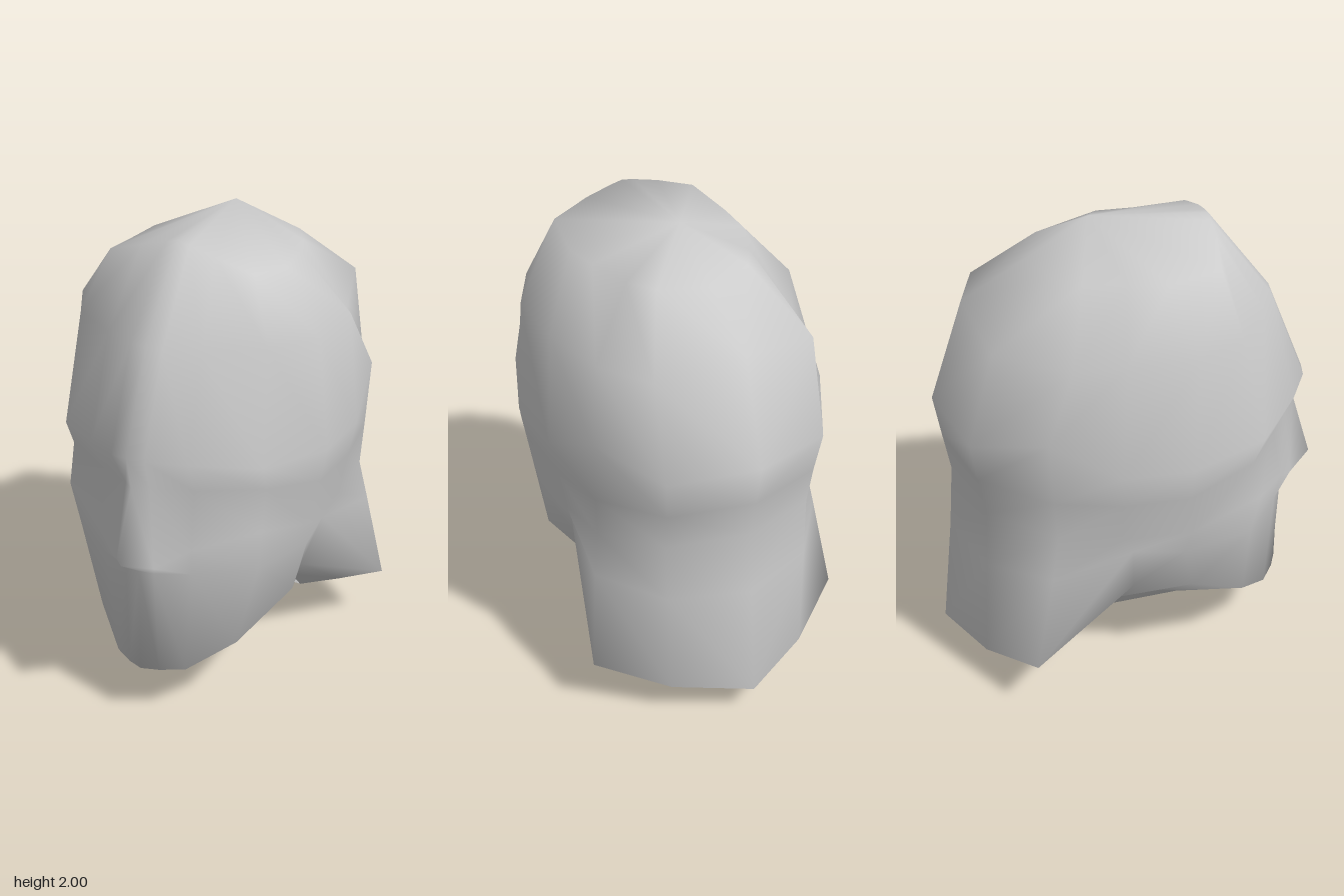
import * as THREE from 'three';

// Half outline of the skull seen from above, brow to nape: [x, z] on a unit scale
const OUTLINE = [[0, 1], [0.13, 0.985], [0.38, 0.88], [0.77, 0.65], [1, 0.22],
  [1, -0.15], [0.92, -0.5], [0.61, -0.86], [0, -1]];

// Half ring from its half width, the front and back [y, z] and the height of the sides
function ring(width, [frontY, frontZ], sideY, [backY, backZ], overrides = {}) {
  return OUTLINE.map(([ux, uz], i) => {
    const endY = uz > 0 ? frontY : backY;
    const z = uz > 0 ? uz * frontZ : -uz * backZ;
    return overrides[i] || [ux * width, sideY + (endY - sideY) * uz * uz, z];
  });
}

// Skin over half rings, each mirrored into a full loop, with a point at the crown
function loft(crown, halves) {
  const positions = [...crown];
  const index = [];
  for (const half of halves) {
    const mirrored = half.slice(1, -1).reverse().map(([x, y, z]) => [-x, y, z]);
    for (const p of [...half, ...mirrored]) positions.push(...p);
  }
  const n = (OUTLINE.length - 1) * 2;
  for (let c = 0; c < n; c++) {
    const d = (c + 1) % n;
    index.push(0, 1 + c, 1 + d);
    for (let r = 0; r < halves.length - 1; r++) {
      const top = 1 + r * n, low = top + n;
      // The diagonals mirror each other on the two sides
      if (c < n / 2) index.push(top + c, low + c, low + d, top + c, low + d, top + d);
      else index.push(top + c, low + c, top + d, low + c, low + d, top + d);
    }
  }
  const geometry = new THREE.BufferGeometry();
  geometry.setAttribute('position', new THREE.Float32BufferAttribute(positions, 3));
  geometry.setIndex(index);
  geometry.computeVertexNormals();
  return geometry;
}

export function createModel() {
  // Skull, brow, eye sockets, nose and cheekbones
  const skull = [
    ring(0.33, [1.97, 0.33], 1.86, [1.84, -0.4],
      { 1: [0.05, 1.96, 0.33], 2: [0.16, 1.93, 0.33], 3: [0.315, 1.88, 0.31],
        4: [0.35, 1.85, 0.1], 6: [0.27, 1.845, -0.22], 7: [0.2, 1.85, -0.33] }),
    ring(0.54, [1.63, 0.59], 1.62, [1.68, -0.66],
      { 4: [0.535, 1.62, 0.18], 6: [0.44, 1.56, -0.29], 7: [0.345, 1.62, -0.585] }),
    ring(0.573, [1.23, 0.75], 1.14, [1.25, -0.8],
      { 3: [0.445, 1.17, 0.48], 6: [0.515, 1.29, -0.4] }),
    ring(0.543, [1.09, 0.72], 0.99, [1.07, -0.77],
      { 1: [0.055, 1.08, 0.67], 2: [0.2, 1.06, 0.58], 3: [0.44, 1.06, 0.435] }),
    ring(0.505, [0.79, 0.81], 0.8, [0.9, -0.74],
      { 1: [0.085, 0.745, 0.705], 2: [0.21, 0.82, 0.625], 3: [0.44, 0.89, 0.475],
        6: [0.49, 0.83, -0.37], 7: [0.325, 0.88, -0.635] }),
    ring(0.487, [0.7, 0.68], 0.69, [0.62, -0.76],
      { 2: [0.2, 0.7, 0.605], 3: [0.415, 0.7, 0.445], 5: [0.46, 0.7, -0.06],
        6: [0.52, 0.65, -0.4], 7: [0.32, 0.62, -0.645] }),
  ];

  // Jaw line, running back into the flared neck guard
  const jaw = [[0, 0.24, 0.68], [0.07, 0.235, 0.65], [0.16, 0.23, 0.59],
    [0.32, 0.33, 0.45], [0.45, 0.49, 0.2], [0.375, 0.46, -0.04],
    [0.575, 0.25, -0.48], [0.31, 0.16, -0.665], [0, 0.13, -0.81]];

  // Underside of the chin and of the neck guard
  const underside = [[0, 0.24, 0.29], [0.06, 0.24, 0.29], [0.15, 0.26, 0.26],
    [0.26, 0.31, 0.17], [0.31, 0.37, 0.06], [0.26, 0.31, -0.17],
    [0.36, 0.14, -0.5], [0.22, 0.07, -0.6], [0, 0.05, -0.67]];

  // Rim of the open neck
  const neckRim = [[0, 0.16, -0.3], [0.06, 0.16, -0.3], [0.11, 0.17, -0.32],
    [0.15, 0.18, -0.35], [0.165, 0.185, -0.36], [0.17, 0.16, -0.4],
    [0.16, 0.09, -0.47], [0.15, 0.035, -0.53], [0, 0, -0.59]];

  const material = new THREE.MeshStandardMaterial({ color: 0xcccccc, side: THREE.DoubleSide });
  const head = new THREE.Mesh(loft([0, 2, -0.15], [...skull, jaw, underside, neckRim]), material);
  head.name = 'head';

  const model = new THREE.Group();
  model.name = 'headModel';
  model.add(head);
  return model;
}
